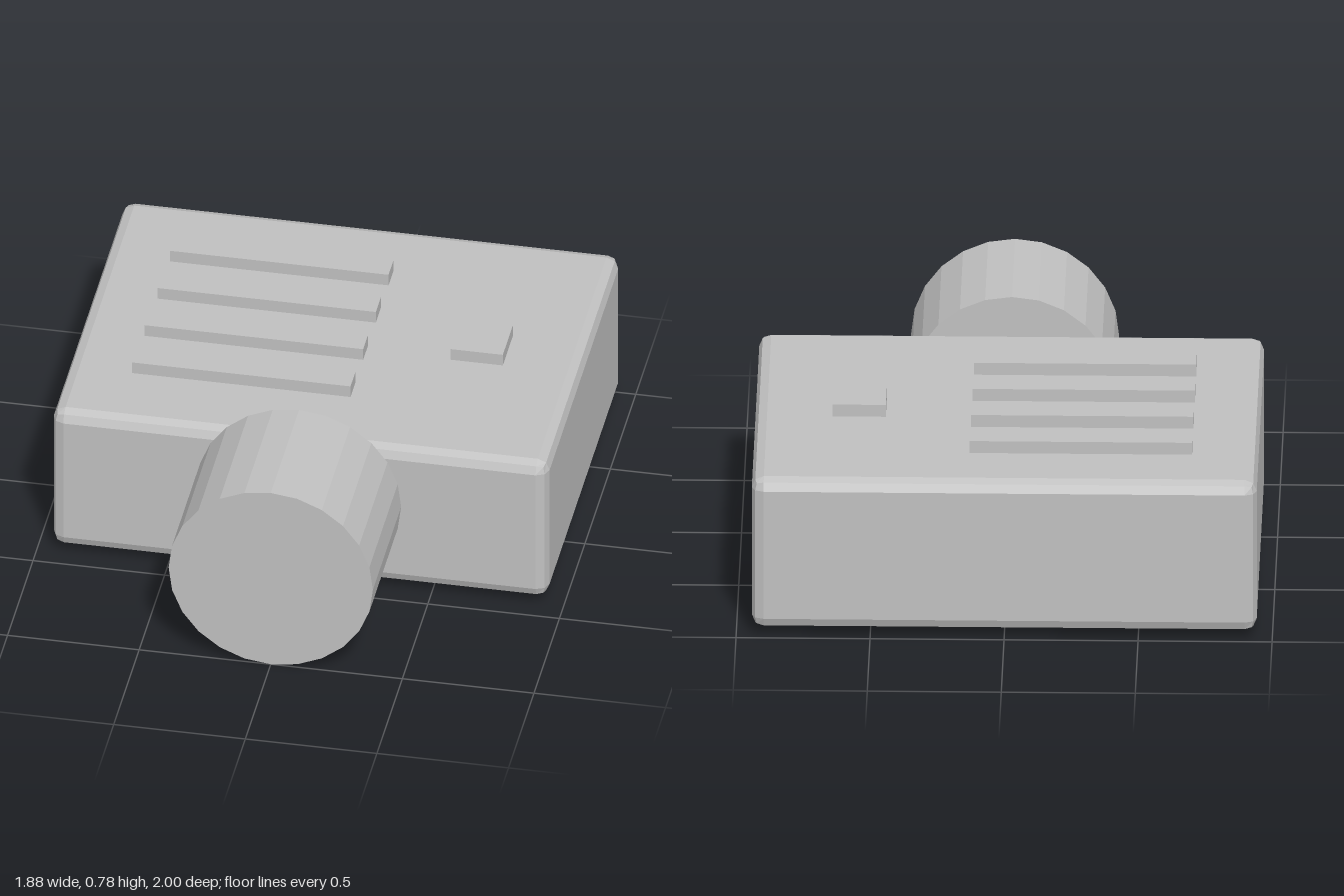
import * as THREE from 'three';
import { RoundedBoxGeometry } from 'three/addons/geometries/RoundedBoxGeometry.js';

export function createModel() {
  const model = new THREE.Group();
  model.name = 'projector';
  const grey = new THREE.MeshStandardMaterial({ color: 0xc0c0c0 });
  grey.name = 'grey';
  grey.flatShading = true;

  const add = (name, geometry, x, y, z) => {
    const mesh = new THREE.Mesh(geometry, grey);
    mesh.name = name;
    mesh.position.set(x, y, z);
    model.add(mesh);
    return mesh;
  };

  // Casing with softened edges
  const top = 0.637, bottom = 0.032, back = -1, front = 0.437;
  add('body', new RoundedBoxGeometry(1.884, top - bottom, front - back, 1, 0.045),
    0, (top + bottom) / 2, (front + back) / 2);

  // Lens barrel, faceted, against the front face
  const radius = 0.388, lensBack = 0.444;
  const barrel = new THREE.CylinderGeometry(radius, radius, 1 - lensBack, 24);
  barrel.rotateX(Math.PI / 2);
  add('lens', barrel, 0, radius, (1 + lensBack) / 2);

  // Raised details on the lid, sunk slightly into it
  const detailTop = 0.685, detailHeight = 0.07;
  const detailY = detailTop - detailHeight / 2;
  for (let i = 0; i < 4; i++) {
    add('ventBar' + (i + 1), new THREE.BoxGeometry(0.83, detailHeight, 0.099),
      -0.281, detailY, -0.67 + i * 0.249);
  }
  add('button', new THREE.BoxGeometry(0.199, detailHeight, 0.196), 0.553, detailY, -0.283);

  return model;
}
